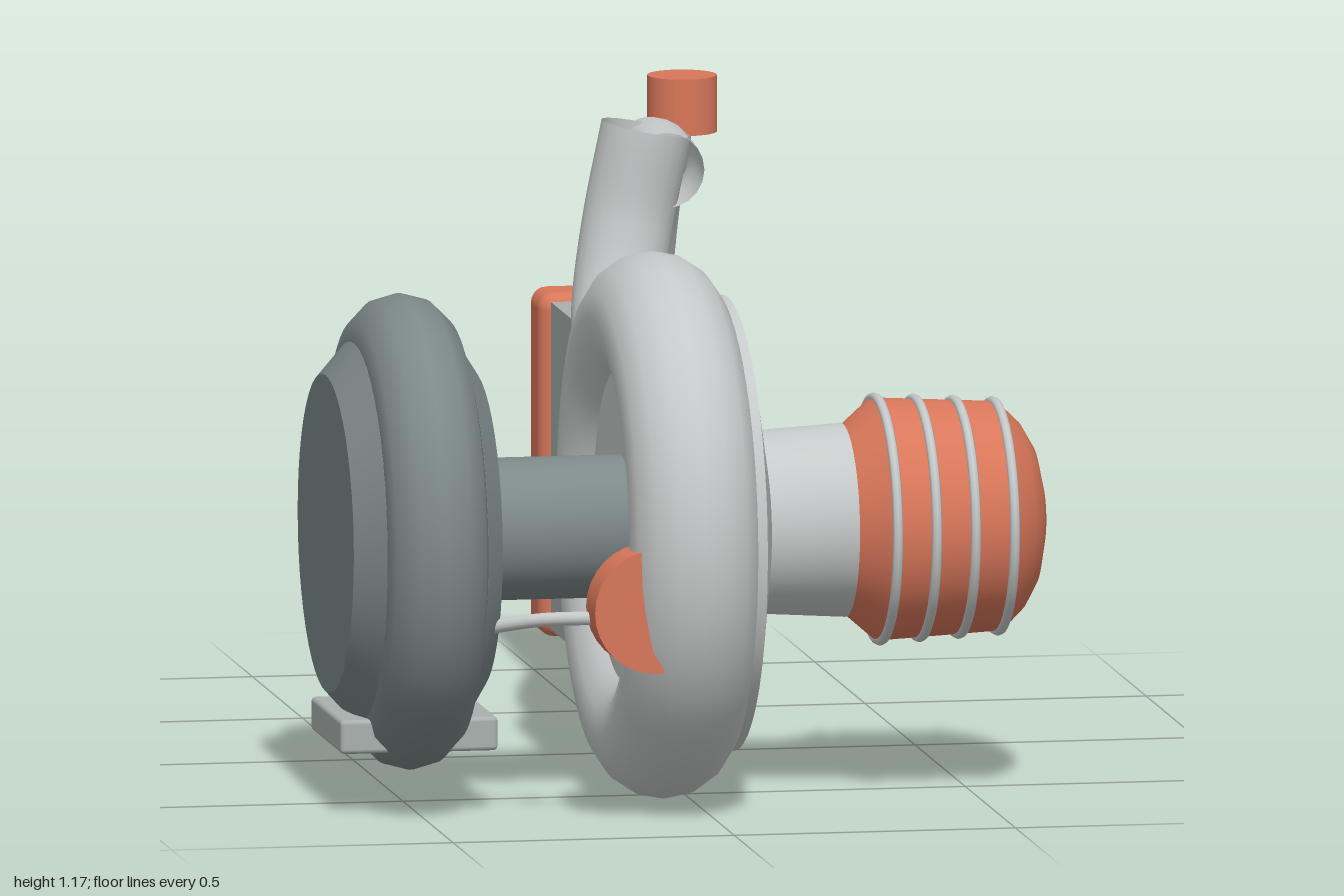
import * as THREE from 'three';
import { RoundedBoxGeometry } from 'three/addons/geometries/RoundedBoxGeometry.js';
import { toCreasedNormals } from 'three/addons/utils/BufferGeometryUtils.js';

// shaft axis of the turbo runs along x through this point
const AXIS_Y = 0.485, AXIS_Z = 0.515;

export function createModel() {
  const model = new THREE.Group();
  const material = (name, color, side = THREE.FrontSide) => {
    const m = new THREE.MeshStandardMaterial({ color, side });
    m.name = name;
    return m;
  };
  const aluminium = material('light aluminium', 0xc6c9c9, THREE.DoubleSide);
  const iron = material('dark cast iron', 0x7d8889);
  const steel = material('core steel', 0xa9b0ae);
  const orange = material('orange', 0xd9775a);

  const add = (name, geometry, mat, x = 0, y = 0, z = 0) => {
    const mesh = new THREE.Mesh(geometry, mat);
    mesh.name = name;
    mesh.position.set(x, y, z);
    model.add(mesh);
    return mesh;
  };
  // part turned around the shaft axis; profile is [radius, x] pairs
  const turned = (name, profile, mat, crease = 0.45) => {
    const points = profile.map(([r, x]) => new THREE.Vector2(r, x));
    const geometry = new THREE.LatheGeometry(points, 48).rotateZ(-Math.PI / 2);
    return add(name, toCreasedNormals(geometry, crease), mat, 0, AXIS_Y, AXIS_Z);
  };
  const ring = (name, radius, tube, sides, mat, x) =>
    add(name, new THREE.TorusGeometry(radius, tube, sides, 56).rotateY(Math.PI / 2), mat, x, AXIS_Y, AXIS_Z);
  const pipe = (name, points, radius, mat) => {
    const curve = new THREE.CatmullRomCurve3(points.map(p => new THREE.Vector3(...p)));
    return add(name, new THREE.TubeGeometry(curve, 32, radius, 20), mat);
  };

  // compressor housing
  ring('compressorVolute', 0.365, 0.115, 16, aluminium, -0.05);
  turned('compressorCover',
    [[0, -0.115], [0.37, -0.115], [0.4, -0.05], [0.4, 0.075], [0.16, 0.125], [0, 0.125]], aluminium);
  turned('intakeNeck', [[0.16, 0.12], [0.17, 0.28], [0, 0.28]], aluminium);

  // turbine housing, centre section and mounting foot
  ring('turbineVolute', 0.326, 0.092, 12, iron, -0.5);
  turned('turbineHousing',
    [[0, -0.64], [0.28, -0.64], [0.335, -0.59], [0.335, -0.41], [0.28, -0.375], [0, -0.375]], iron);
  turned('centreSection', [[0, -0.4], [0.125, -0.4], [0.125, -0.1], [0, -0.1]], iron);
  add('mountingFoot', new RoundedBoxGeometry(0.28, 0.06, 0.3, 2, 0.008), steel, -0.5, 0.145, AXIS_Z);

  // air filter with four bands
  turned('airFilter',
    [[0, 0.28], [0.165, 0.28], [0.213, 0.335], [0.201, 0.555], [0.165, 0.592], [0.125, 0.615], [0.065, 0.63], [0, 0.635]],
    orange, 0.7);
  for (let i = 0; i < 4; i++) {
    ring('filterBand', 0.213 - i * 0.004, 0.009, 8, aluminium, 0.34 + i * 0.07);
  }

  // boost actuator and its rod
  add('actuator', new THREE.CylinderGeometry(0.11, 0.11, 0.09, 32).rotateX(Math.PI / 2), orange, -0.125, 0.393, 0.885);
  pipe('actuatorRod', [[-0.385, 0.35, 0.765], [-0.31, 0.368, 0.82], [-0.22, 0.375, 0.86], [-0.14, 0.38, 0.88]], 0.012, aluminium);

  // charge pipes, open at the ends
  pipe('outletPipe', [[-0.05, 0.71, 0.15], [-0.04, 0.79, 0.05], [-0.012, 0.94, 0], [0.022, 1.11, 0]], 0.08, aluminium);
  pipe('returnPipe',
    [[0.05, 1.04, 0.045], [0.055, 1.045, -0.1], [0.066, 1.02, -0.22], [0.074, 0.93, -0.33], [0.076, 0.76, -0.435]],
    0.067, aluminium);
  add('reliefValve', new THREE.CylinderGeometry(0.061, 0.061, 0.1, 32), orange, 0.112, 1.13, -0.148);

  // intercooler core, fins and end tanks
  add('intercoolerCore', new THREE.BoxGeometry(0.12, 0.58, 0.9), steel, 0.07, 0.382, -0.44);
  for (let i = 0; i < 15; i++) {
    add('coolingFin', new THREE.BoxGeometry(0.012, 0.014, 0.84), iron, 0.132, 0.112 + i * 0.0379, -0.44);
  }
  for (const z of [0.061, -0.939]) {
    add('endTank', new RoundedBoxGeometry(0.16, 0.61, 0.122, 3, 0.03), orange, 0.07, 0.382, z);
  }
  return model;
}
